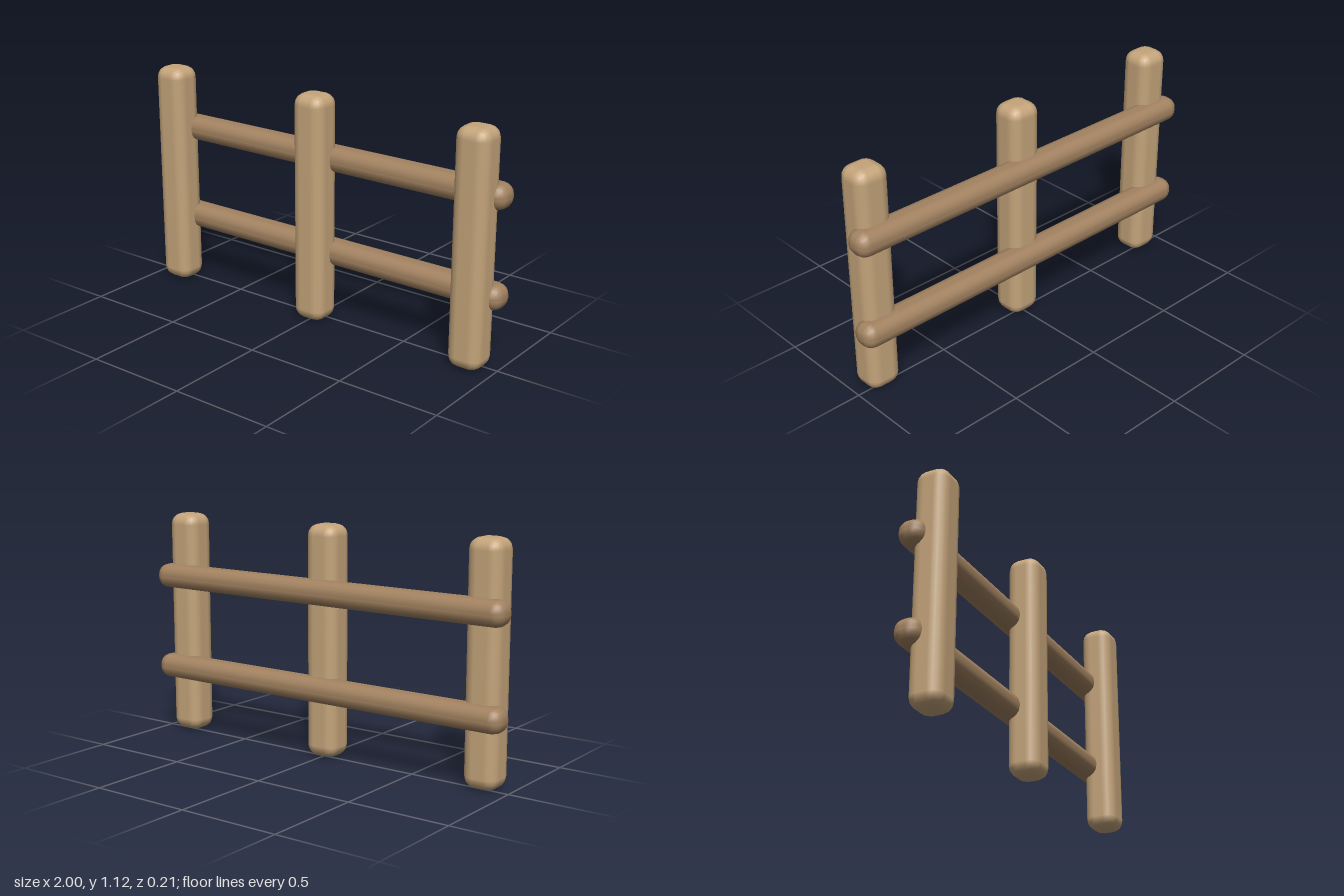
import * as THREE from 'three';
import { RoundedBoxGeometry } from 'three/addons/geometries/RoundedBoxGeometry.js';

export function createModel() {
  const group = new THREE.Group();
  const postWood = new THREE.MeshStandardMaterial({ color: 0xc4a47a });
  const railWood = new THREE.MeshStandardMaterial({ color: 0xa28260 });

  const add = (name, geometry, material, x, y, z) => {
    const mesh = new THREE.Mesh(geometry, material);
    mesh.name = name;
    mesh.position.set(x, y, z);
    group.add(mesh);
  };

  // Three upright posts with softened edges
  const postGeometry = new RoundedBoxGeometry(0.17, 1.12, 0.16, 2, 0.056);
  const posts = { rightPost: -0.868, middlePost: 0, leftPost: 0.868 };
  for (const [name, x] of Object.entries(posts)) {
    add(name, postGeometry, postWood, x, 0.56, 0.027);
  }

  // Two rounded rails let into the back of the posts
  const railGeometry = new RoundedBoxGeometry(2, 0.122, 0.132, 2, 0.056);
  const rails = { lowerRail: 0.335, upperRail: 0.802 };
  for (const [name, y] of Object.entries(rails)) {
    add(name, railGeometry, railWood, 0, y, -0.041);
  }

  return group;
}
